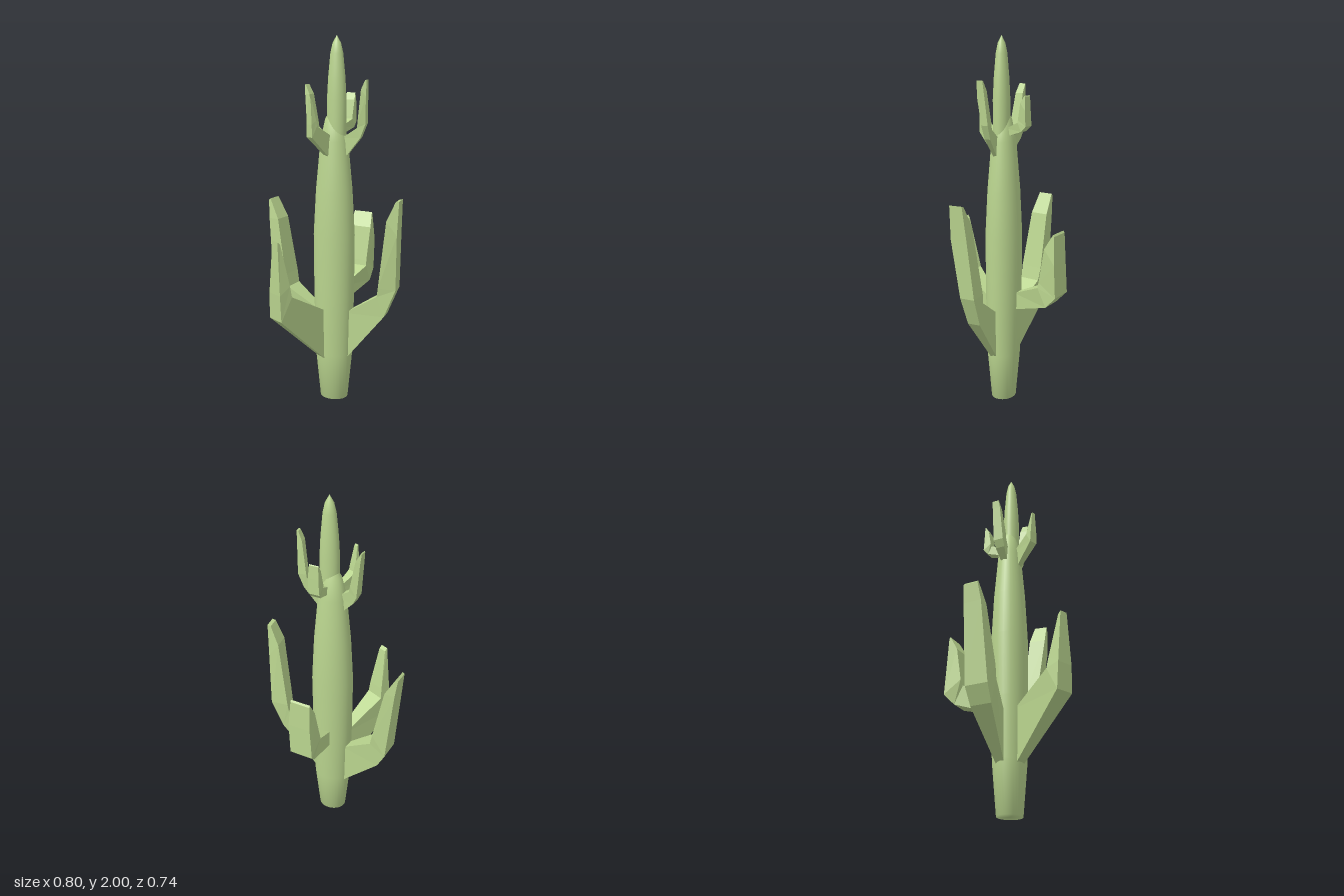
import * as THREE from 'three';

const green = new THREE.MeshStandardMaterial({ color: 0xb9d48e });
const greenFlat = new THREE.MeshStandardMaterial({ color: 0xb9d48e });
greenFlat.flatShading = true;

// Trunk outline as [radius, height]
const trunkProfile = [
  [0, 0], [0.078, 0], [0.104, 0.27], [0.112, 0.6], [0.114, 0.95],
  [0.1, 1.2], [0.075, 1.46], [0.049, 1.573], [0, 1.66],
];

// Arms: heading (x, z) and stations of
// [inner radius, inner y, outer radius, outer y, sideways shift, width]
const arms = [
  { name: 'leftArm', dir: [1, 0], stations: [
    [0.08, 0.515, 0.085, 0.245, 0.025, 0.035],
    [0.27, 0.64, 0.31, 0.53, 0.035, 0.07],
    [0.277, 0.69, 0.375, 0.69, 0.038, 0.08],
    [0.33, 1.07, 0.388, 1.0, 0.075, 0.09],
    [0.378, 1.175, 0.397, 1.18, 0.085, 0.07]] },
  { name: 'rightArm', dir: [-0.98, -0.17], stations: [
    [0.08, 0.5, 0.085, 0.245, 0, 0.045],
    [0.26, 0.62, 0.31, 0.48, -0.012, 0.115],
    [0.275, 0.69, 0.355, 0.57, -0.01, 0.125],
    [0.335, 1.0, 0.393, 1.0, 0.0, 0.1],
    [0.395, 1.11, 0.405, 1.1, 0.005, 0.08]] },
  { name: 'backArm', dir: [0.13, -0.99], stations: [
    [0.07, 0.63, 0.07, 0.535, 0, 0.04],
    [0.25, 0.71, 0.3, 0.61, 0.02, 0.115],
    [0.255, 0.74, 0.355, 0.67, 0.01, 0.13],
    [0.29, 0.93, 0.35, 0.85, 0.02, 0.125],
    [0.335, 1.01, 0.342, 1.0, 0.015, 0.11]] },
  { name: 'frontArm', dir: [-0.5, 0.86], stations: [
    [0.08, 0.53, 0.085, 0.245, 0, 0.05],
    [0.33, 0.67, 0.4, 0.545, -0.005, 0.105],
    [0.34, 0.73, 0.405, 0.69, -0.008, 0.095],
    [0.385, 0.96, 0.402, 0.975, -0.014, 0.045]] },
];

// Lofts a four-sided bar through the stations and caps both ends
function armGeometry({ dir, stations }) {
  const [dx, dz] = new THREE.Vector2(...dir).normalize().toArray();
  const pos = [], index = [];
  for (const [ri, yi, ro, yo, shift, w] of stations) {
    const corner = (r, y, s) => pos.push(dx * r - dz * s, y, dz * r + dx * s);
    corner(ri, yi, shift - w / 2);
    corner(ri, yi, shift + w / 2);
    corner(ro, yo, shift + w / 2);
    corner(ro, yo, shift - w / 2);
  }
  const last = (stations.length - 1) * 4;
  for (let i = 0; i < last; i += 4) {
    for (let j = 0; j < 4; j++) {
      const k = (j + 1) % 4;
      index.push(i + j, i + k, i + 4 + k, i + j, i + 4 + k, i + 4 + j);
    }
  }
  index.push(0, 2, 1, 0, 3, 2);
  index.push(last, last + 1, last + 2, last, last + 2, last + 3);
  const geometry = new THREE.BufferGeometry();
  geometry.setAttribute('position', new THREE.Float32BufferAttribute(pos, 3));
  geometry.setIndex(index);
  const flat = geometry.toNonIndexed();
  flat.computeVertexNormals();
  return flat;
}

// One trunk with its ring of four arms
function cactusTier(name) {
  const tier = new THREE.Group();
  tier.name = name;
  const points = trunkProfile.map(([r, y]) => new THREE.Vector2(r, y));
  const trunk = new THREE.Mesh(new THREE.LatheGeometry(points, 32), green);
  trunk.name = 'trunk';
  trunk.scale.z = 0.85;
  trunk.position.set(0.004, 0, 0.008);
  tier.add(trunk);
  for (const arm of arms) {
    const mesh = new THREE.Mesh(armGeometry(arm), greenFlat);
    mesh.name = arm.name;
    tier.add(mesh);
  }
  return tier;
}

export function createModel() {
  const model = new THREE.Group();
  model.name = 'cactus';
  model.add(cactusTier('lowerCactus'));

  // Smaller repeat growing out of the top
  const crown = cactusTier('upperCactus');
  crown.scale.setScalar(0.457);
  crown.position.set(0.018, 1.241, 0.01);
  model.add(crown);
  return model;
}
